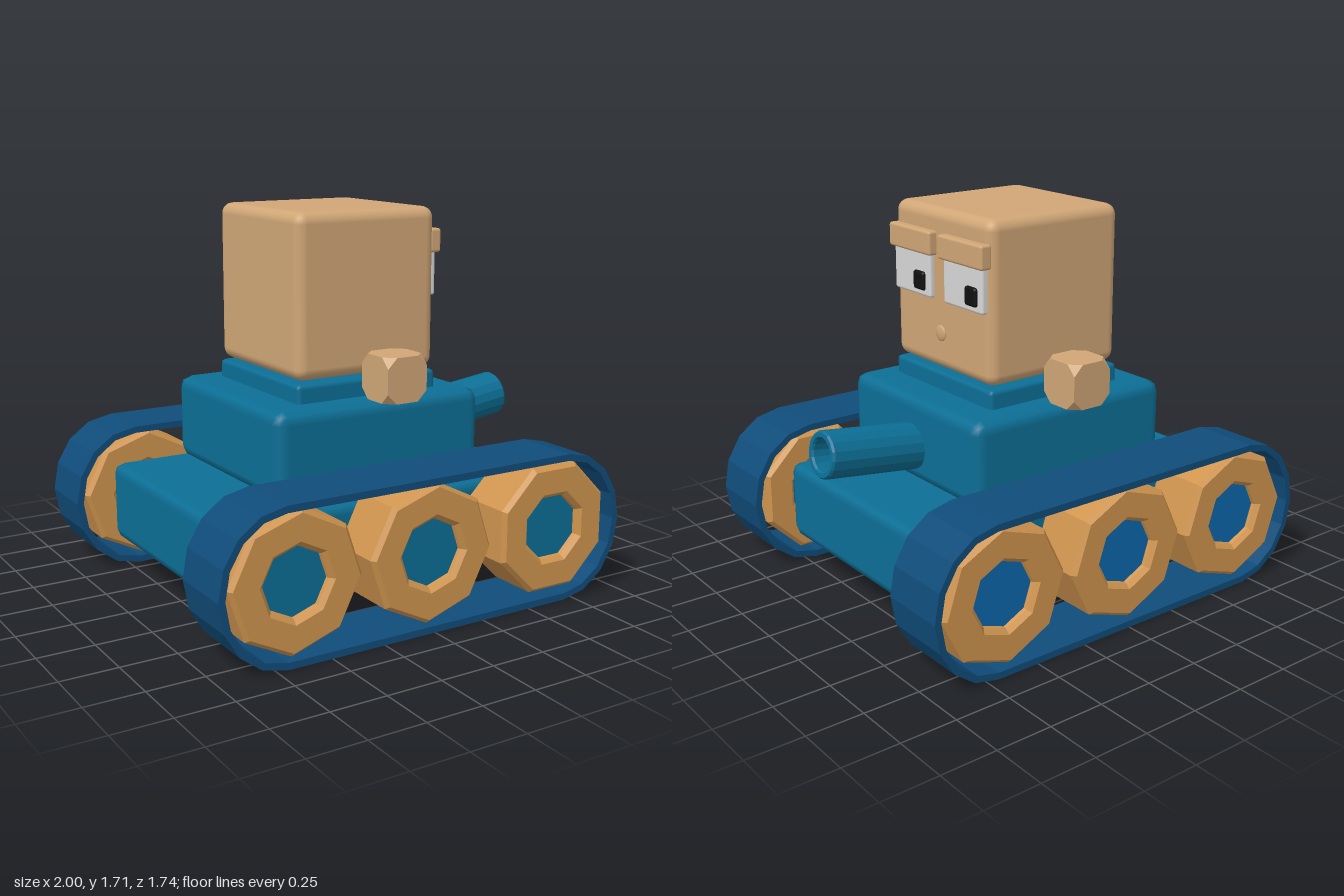
import * as THREE from 'three';
import { RoundedBoxGeometry } from 'three/addons/geometries/RoundedBoxGeometry.js';
import { ConvexGeometry } from 'three/addons/geometries/ConvexGeometry.js';

function material(name, color, flat = false) {
  const m = new THREE.MeshStandardMaterial({ color, flatShading: flat });
  m.name = name;
  return m;
}

export function createModel() {
  const model = new THREE.Group();
  model.name = 'tankCharacter';

  const skin = material('tan', 0xd0a676);
  const teal = material('teal', 0x0c6f96);
  const navy = material('navy', 0x0f4c7a, true);
  const amber = material('amber', 0xd0954f, true);
  const blue = material('blue', 0x0b67ab);
  const white = material('white', 0xd8d8d8);
  const black = material('black', 0x101010);

  const add = (name, geometry, mat, parent = model) => {
    const mesh = new THREE.Mesh(geometry, mat);
    mesh.name = name;
    parent.add(mesh);
    return mesh;
  };

  // Rounded box given by its limits on each axis
  const block = (name, mat, [x0, x1], [y0, y1], [z0, z1], radius, segments = 1) => {
    const mesh = add(name, new RoundedBoxGeometry(x1 - x0, y1 - y0, z1 - z0, segments, radius), mat);
    mesh.position.set((x0 + x1) / 2, (y0 + y1) / 2, (z0 + z1) / 2);
    return mesh;
  };

  // Body
  block('lowerHull', teal, [-0.83, 0.825], [0.155, 0.515], [-0.56, 0.555], 0.05);
  block('upperHull', teal, [-0.52, 0.515], [0.525, 0.91], [-0.485, 0.475], 0.055);
  block('neckPlate', teal, [-0.355, 0.35], [0.88, 0.99], [-0.36, 0.355], 0.02);

  // Head and face, looking along +x
  block('head', skin, [-0.352, 0.348], [1.0, 1.708], [-0.357, 0.35], 0.05, 3);
  block('leftBrow', skin, [0.33, 0.387], [1.505, 1.61], [-0.345, -0.033], 0.012, 2);
  block('rightBrow', skin, [0.33, 0.387], [1.505, 1.61], [0.025, 0.335], 0.012, 2);
  block('leftEye', white, [0.33, 0.37], [1.315, 1.53], [-0.328, -0.052], 0.012, 2);
  block('rightEye', white, [0.33, 0.37], [1.315, 1.53], [0.045, 0.318], 0.012, 2);
  block('leftPupil', black, [0.35, 0.384], [1.342, 1.425], [-0.296, -0.217], 0.013, 2);
  block('rightPupil', black, [0.35, 0.384], [1.342, 1.425], [0.08, 0.16], 0.013, 2);
  const mouth = add('mouth', new THREE.SphereGeometry(0.036, 16, 10), skin);
  mouth.scale.x = 0.3;
  mouth.position.set(0.348, 1.167, 0);

  // Hands: cubes with the corners cut off
  const half = 0.098, cut = 0.045;
  const corners = [];
  for (const x of [-1, 1]) for (const y of [-1, 1]) for (const z of [-1, 1]) {
    for (let axis = 0; axis < 3; axis++) {
      const p = [x * half, y * half, z * half];
      p[axis] *= 1 - cut / half;
      corners.push(new THREE.Vector3(...p));
    }
  }
  const handGeometry = new ConvexGeometry(corners);
  for (const [name, z] of [['frontHand', 0.516], ['backHand', -0.522]]) {
    add(name, handGeometry, skin).position.set(0.02, 1.022, z);
  }

  // Cannon with a hollow muzzle, tilted slightly upward
  const point = ([x, y]) => new THREE.Vector2(x, y);
  const cannonMat = material('cannon teal', 0x0c6f96, true);
  const barrel = new THREE.LatheGeometry(
    [[0.104, -0.1], [0.104, 0.445], [0.097, 0.455], [0.078, 0.455], [0.072, 0.445], [0.072, 0.27], [0, 0.27]].map(point), 16);
  const cannon = add('cannon', barrel, cannonMat);
  cannon.position.set(0.515, 0.687, 0);
  cannon.rotation.z = -Math.PI / 2 + 0.13;

  // Track outline: straight runs joined by eight-sided half ellipses
  const outline = (Kind, rx, ry) => {
    const points = [];
    for (const side of [1, -1]) {
      for (let i = 0; i <= 8; i++) {
        const a = -Math.PI / 2 + (i * Math.PI) / 8;
        points.push(new THREE.Vector2(side * (0.7 + rx * Math.cos(a)), 0.333 + side * ry * Math.sin(a)));
      }
    }
    return new Kind(points);
  };
  const trackShape = outline(THREE.Shape, 0.3, 0.333);
  trackShape.holes.push(outline(THREE.Path, 0.27, 0.303));
  const trackGeometry = new THREE.ExtrudeGeometry(trackShape, { depth: 0.305, bevelEnabled: false });
  trackGeometry.translate(0, 0, -0.1525);

  // Eight-sided wheel rim with a bevelled, recessed centre
  const h = 0.135;
  const rimGeometry = new THREE.LatheGeometry([
    [0.145, -h + 0.04], [0.15, -h + 0.02], [0.17, -h], [0.285, -h], [0.303, -h + 0.02],
    [0.303, h - 0.02], [0.285, h], [0.17, h], [0.15, h - 0.02], [0.145, h - 0.04],
  ].map(point), 8).rotateX(Math.PI / 2);
  const hubGeometry = new THREE.CylinderGeometry(0.15, 0.15, 2 * h - 0.07, 8).rotateX(Math.PI / 2);

  for (const side of [1, -1]) {
    const tread = new THREE.Group();
    tread.name = side > 0 ? 'frontTread' : 'backTread';
    tread.position.z = side * 0.715;
    model.add(tread);
    add('track', trackGeometry, navy, tread);
    [-0.645, 0, 0.645].forEach((x, i) => {
      const wheel = new THREE.Group();
      wheel.name = 'wheel' + (i + 1);
      wheel.position.set(x, 0.337, 0);
      wheel.rotation.z = side > 0 && i === 2 ? Math.PI / 8 : -0.07;
      tread.add(wheel);
      add('rim', rimGeometry, amber, wheel);
      add('hub', hubGeometry, side > 0 ? teal : blue, wheel);
    });
  }
  return model;
}
